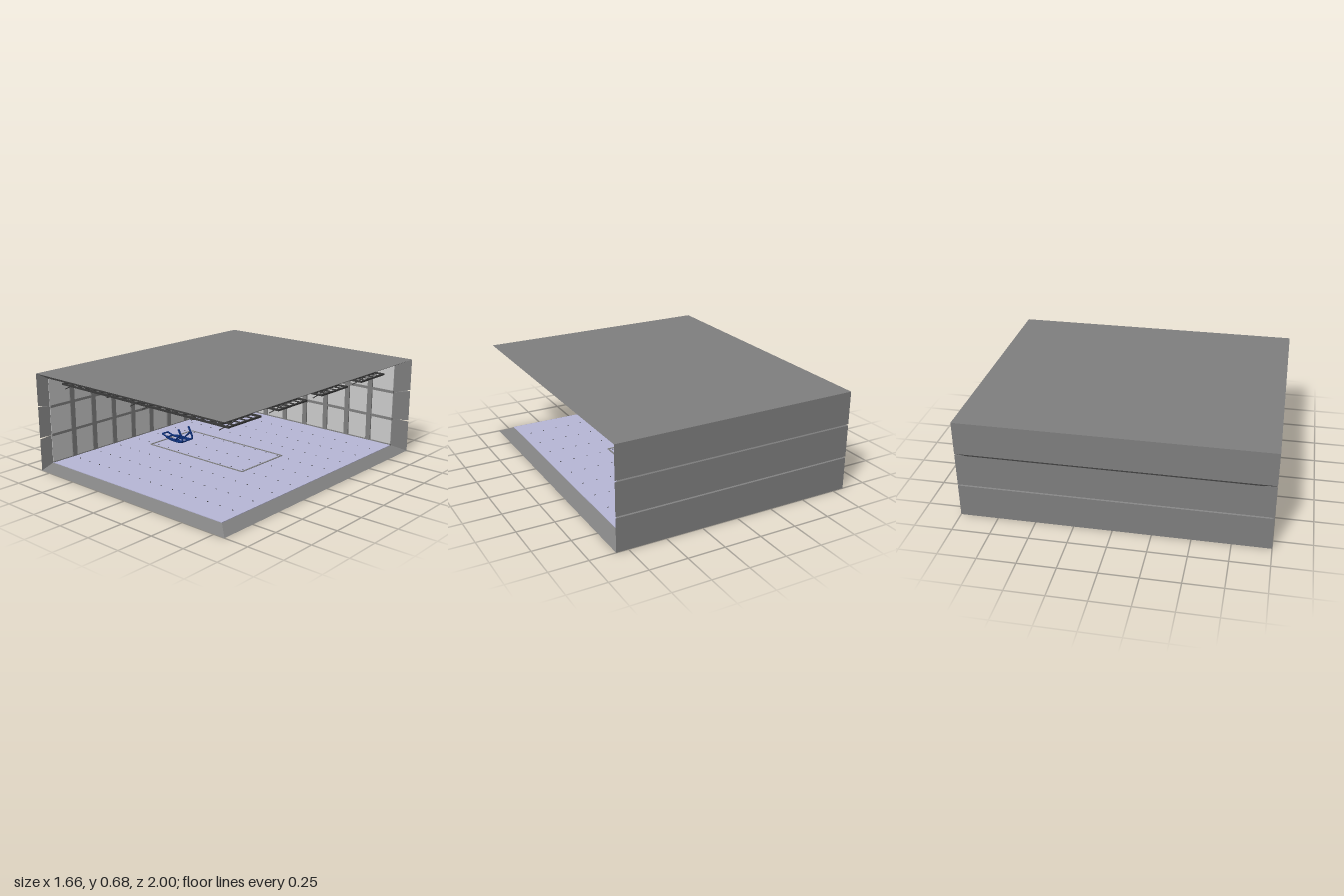
import * as THREE from 'three';
import { ConvexGeometry } from 'three/addons/geometries/ConvexGeometry.js';

const mat = (name, color, side = THREE.FrontSide) => {
  const m = new THREE.MeshStandardMaterial({ color, side });
  m.name = name;
  return m;
};

export function createModel() {
  const grey = mat('wall grey', 0x808080);
  const pale = mat('panel grey', 0xcccccc);
  const header = mat('header grey', 0x9a9a9a);
  const lavender = mat('floor lavender', 0xb8b8d8);
  const dark = mat('rack charcoal', 0x3a3a3a);
  const blue = mat('sled blue', 0x0c2f78);

  const model = new THREE.Group();
  const V = (x, y, z) => new THREE.Vector3(x, y, z);
  const group = (name, parent = model) => {
    const g = new THREE.Group();
    g.name = name;
    parent.add(g);
    return g;
  };
  const add = (parent, name, geo, material) => {
    const m = new THREE.Mesh(geo, material);
    m.name = name;
    parent.add(m);
    return m;
  };
  // Box given by its two opposite corners
  const box = (parent, name, material, x0, x1, y0, y1, z0, z1) =>
    add(parent, name, new THREE.BoxGeometry(x1 - x0, y1 - y0, z1 - z0), material)
      .position.set((x0 + x1) / 2, (y0 + y1) / 2, (z0 + z1) / 2);
  const rod = (parent, name, material, points, r, seg = 1) => {
    const curve = points.length === 2
      ? new THREE.LineCurve3(...points) : new THREE.CatmullRomCurve3(points);
    return add(parent, name, new THREE.TubeGeometry(curve, seg, r, 6), material);
  };

  // Outer and inner limits of the shell; every slab tapers from one to the other
  const H = 0.68, X = 0.83, Z = 1;
  const ix0 = -0.81, ix1 = 0.74, iy0 = 0.04, iy1 = 0.635, iz0 = -0.93, iz1 = 0.92;
  const shell = group('shell');
  const slab = (name, outerY, innerY) => {
    const pts = [];
    for (const x of [-X, X]) for (const z of [-Z, Z]) pts.push(V(x, outerY, z));
    for (const x of [ix0, ix1]) for (const z of [iz0, iz1]) pts.push(V(x, innerY, z));
    add(shell, name, new ConvexGeometry(pts), grey);
  };
  slab('floorSlab', 0, iy0);
  slab('ceilingSlab', H, iy1);

  // Two walls of three tiers with a narrow groove between tiers outside
  for (let t = 0; t < 3; t++) {
    const oy = [t * H / 3 + (t ? 0.005 : 0), (t + 1) * H / 3 - (t < 2 ? 0.005 : 0)];
    const iy = [0, 1].map(k => iy0 + (iy1 - iy0) * (t + k) / 3);
    const back = [], left = [];
    for (const y of oy) {
      back.push(V(-X, y, -Z), V(X, y, -Z));
      left.push(V(-X, y, -Z), V(-X, y, Z));
    }
    for (const y of iy) {
      back.push(V(ix0, y, iz0), V(ix1, y, iz0));
      left.push(V(ix0, y, iz0), V(ix0, y, iz1));
    }
    add(shell, 'backWallTier', new ConvexGeometry(back), grey);
    add(shell, 'sideWallTier', new ConvexGeometry(left), grey);
  }

  // Floor covering, marked rectangle and rows of studs
  const floor = group('floor');
  box(floor, 'floorCovering', lavender, ix0, ix1, iy0, 0.044, iz0, iz1);
  const w = 0.012;
  for (const z of [-0.215, 0.215])
    box(floor, 'markLong', grey, -0.58, 0.29, 0.044, 0.047, z - w / 2, z + w / 2);
  for (const x of [-0.58, 0.29])
    box(floor, 'markShort', grey, x - w / 2, x + w / 2, 0.044, 0.047, -0.215, 0.215);
  for (let i = 0; i < 15; i++)
    for (let j = 0; j < 9; j++) {
      const x = -0.73 + i * 0.1, z = -0.75 + j * 0.187;
      box(floor, 'stud', dark, x - 0.004, x + 0.004, 0.044, 0.046, z - 0.003, z + 0.003);
    }

  // Pale panels framed by raised bars
  const rows = [iy0, 0.24, 0.44, iy1], bw = 0.019;
  const backPanels = group('backWallPanels');
  const px = (ix1 - ix0) / 8;
  for (let i = 0; i < 8; i++)
    box(backPanels, 'panelColumn', pale, ix0 + i * px + 0.006, ix0 + (i + 1) * px - 0.006,
      iy0 + 0.005, iy1 - 0.004, iz0, iz0 + 0.004);
  for (let i = 1; i < 8; i++)
    box(backPanels, 'uprightBar', grey, ix0 + i * px - bw, ix0 + i * px + bw, iy0, iy1, iz0, iz0 + 0.014);
  for (const y of [rows[1], rows[2]])
    box(backPanels, 'crossBar', grey, ix0, ix1, y - 0.009, y + 0.009, iz0, iz0 + 0.013);
  box(backPanels, 'baseBar', grey, ix0, ix1, iy0, 0.05, iz0, iz0 + 0.013);

  const sidePanels = group('sideWallPanels');
  const pz = (iz1 - iz0) / 10;
  for (let i = 0; i < 10; i++) {
    const inDoor = i === 4 || i === 5;
    box(sidePanels, 'panelColumn', pale, ix0, ix0 + 0.004, iy0 + 0.005, inDoor ? 0.44 : iy1 - 0.004,
      iz0 + i * pz, iz0 + (i + 1) * pz);
  }
  for (let i = 1; i < 10; i++) {
    const z = iz0 + i * pz;
    box(sidePanels, 'uprightBar', grey, ix0, ix0 + 0.013, iy0, i === 5 ? 0.44 : iy1, z - bw, z + bw);
  }
  for (const y of [rows[1], rows[2]])
    box(sidePanels, 'crossBar', grey, ix0, ix0 + 0.012, y - 0.009, y + 0.009, iz0, iz1);
  box(sidePanels, 'baseBar', grey, ix0, ix0 + 0.012, iy0, 0.05, iz0, iz1);
  box(sidePanels, 'doorHeader', header, ix0, ix0 + 0.015, 0.455, 0.57, -0.2, 0.195);

  // Hanging racks: two along x, four along z, each a lattice with trailing cables
  const racks = group('ceilingRacks');
  for (const [a, b] of [[-0.78, -0.04], [-0.03, 0.71]])
    for (const z1 of [0.83, 0.37, -0.08, -0.54]) {
      const rack = group('rack', racks), z0 = z1 - 0.295, len = b - a;
      for (let i = 0; i < 6; i++) {
        const z = z0 + i * 0.057, r = i % 5 ? 0.003 : 0.006;
        box(rack, 'longBar', dark, a, b, 0.584 - r, 0.584 + r, z, z + 0.01);
      }
      for (let i = 0; i <= 10; i++) {
        const x = a + (len - 0.01) * i / 10;
        box(rack, 'rung', dark, x, x + 0.01, 0.578, 0.589, z0, z1);
      }
      for (const x of [a + 0.07, b - 0.06])
        rod(rack, 'hanger', dark, [V(x, 0.584, z1 - 0.01), V(x, iy1, z1 - 0.01)], 0.003);
      // Sagging cables that climb to the ceiling behind the rack
      for (let c = 0; c < 3; c++) {
        const pts = [];
        for (let i = 0; i <= 10; i++) {
          const t = i / 10;
          pts.push(V(a + len * (0.08 + 0.84 * t),
            0.582 + 0.022 * Math.sin(i * 1.9 + c * 2.3) * Math.sin(Math.PI * t),
            z1 - 0.06 - c * 0.08 + 0.04 * Math.sin(i * 2.4 + c)));
        }
        rod(rack, 'looseCable', dark, pts, 0.0025, 40);
      }
      for (const x of [a + 0.02, b - 0.08])
        rod(rack, 'feedCable', dark, [V(x, 0.55, z1 - 0.01), V(x + 0.03, 0.585, z1 - 0.1),
          V(x + 0.01, 0.6, z1 - 0.2), V(x + 0.04, iy1, z1 - 0.32)], 0.003, 16);
    }

  // Push sled standing on the floor
  const sled = group('sled');
  for (const s of [-1, 1]) {
    const z = 0.052 * s;
    rod(sled, 'runner', blue, [V(-0.6, 0.05, z * 0.6), V(-0.54, 0.05, z), V(-0.44, 0.05, z),
      V(-0.418, 0.062, z), V(-0.432, 0.1, z), V(-0.458, 0.145, z)], 0.0075, 24);
    rod(sled, 'brace', blue, [V(-0.5, 0.05, z), V(-0.435, 0.107, z)], 0.006);
    rod(sled, 'tongueRail', blue, [V(-0.65, 0.066, 0.028 * s), V(-0.59, 0.05, 0.03 * s),
      V(-0.42, 0.05, 0.03 * s)], 0.006, 10);
  }
  for (const [x, y, h] of [[-0.65, 0.066, 0.028], [-0.6, 0.05, 0.031], [-0.5, 0.05, 0.052],
    [-0.42, 0.055, 0.052]])
    rod(sled, 'crossTube', blue, [V(x, y, -h), V(x, y, h)], 0.006);

  return model;
}
